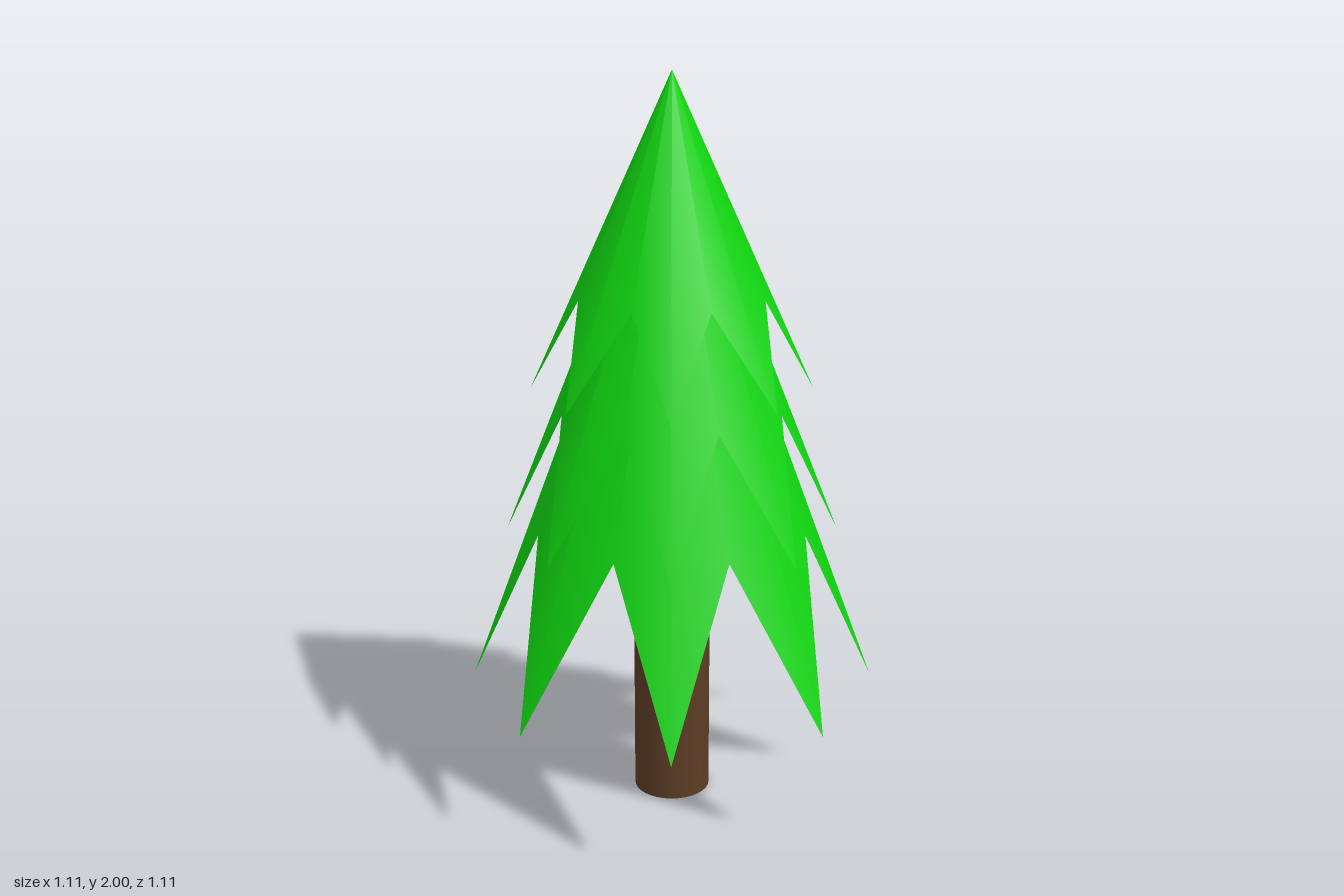
import * as THREE from 'three';

const leafGreen = new THREE.MeshStandardMaterial({ color: 0x10d410, side: THREE.DoubleSide });
leafGreen.name = 'leaf green';
const barkBrown = new THREE.MeshStandardMaterial({ color: 0x5c3d24 });
barkBrown.name = 'bark brown';

const VALLEY = 0.69; // how far down the slope each notch between two tips lies

// Open cone whose rim is cut into eight points along its own slope
function makeTier(name, radius, tipY, apexY) {
  const height = apexY - tipY;
  const geometry = new THREE.ConeGeometry(radius, height, 16, 1, true);
  geometry.translate(0, -height / 2, 0); // apex at the origin
  const pos = geometry.attributes.position;
  for (let i = 0; i <= 16; i++) {
    const v = 17 + i; // rim row follows the apex row
    const s = i % 2 ? VALLEY : 1;
    pos.setXYZ(v, pos.getX(v) * s, pos.getY(v) * s, pos.getZ(v) * s);
  }
  const mesh = new THREE.Mesh(geometry, leafGreen);
  mesh.position.y = apexY;
  mesh.name = name;
  return mesh;
}

export function createModel() {
  const tree = new THREE.Group();
  tree.name = 'pineTree';

  // Trunk, running up inside the foliage
  const trunk = new THREE.Mesh(new THREE.CylinderGeometry(0.105, 0.105, 1, 32), barkBrown);
  trunk.position.y = 0.5;
  trunk.name = 'trunk';
  tree.add(trunk);

  // Three overlapping tiers of branches: rim radius, tip height, apex height
  tree.add(makeTier('lowerBranches', 0.555, 0.34, 1.84));
  tree.add(makeTier('middleBranches', 0.45, 0.775, 1.91));
  tree.add(makeTier('upperBranches', 0.377, 1.17, 2));

  return tree;
}
